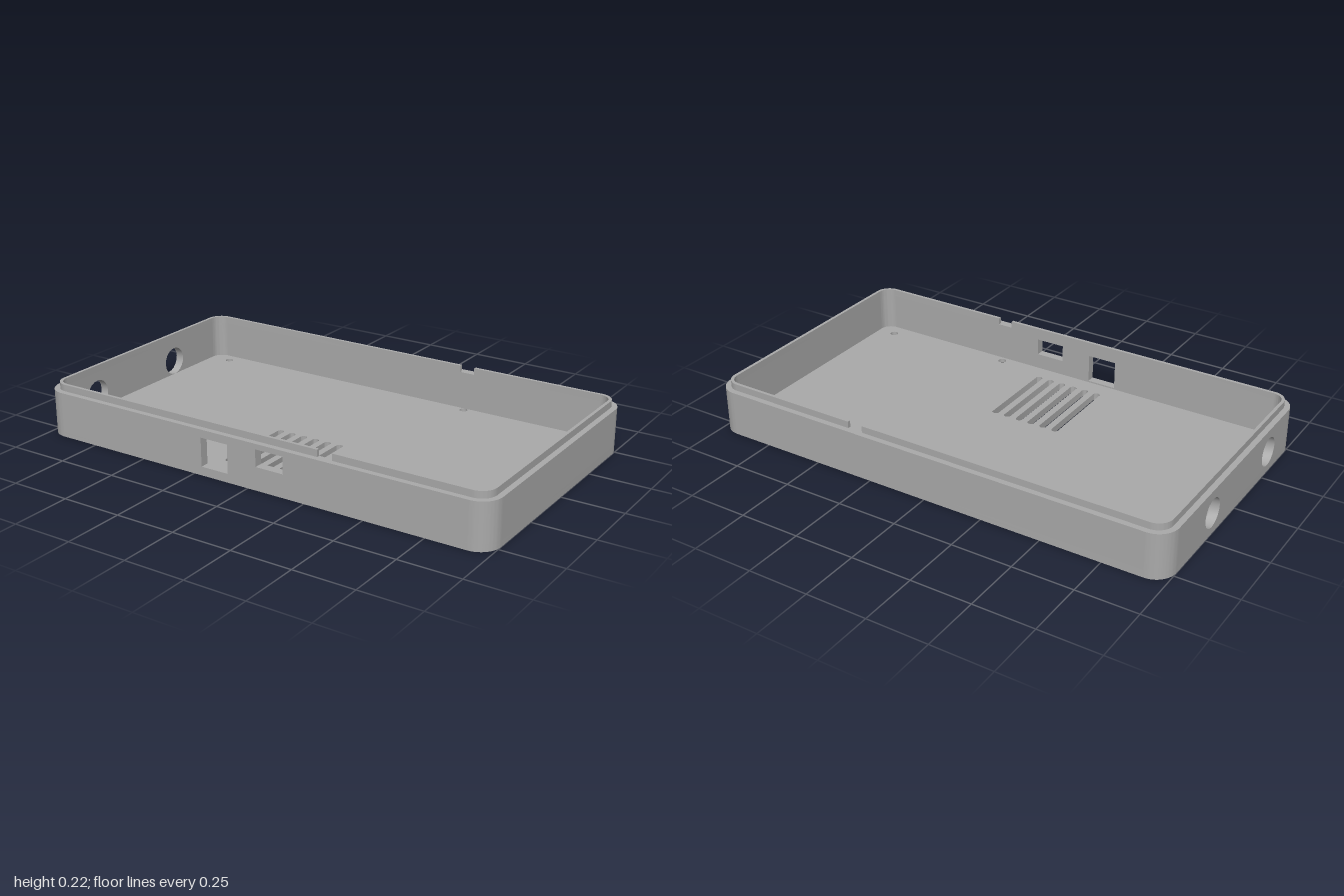
import * as THREE from 'three';
import { toCreasedNormals } from 'three/addons/utils/BufferGeometryUtils.js';

const X = 1, Z = 0.563, R = 0.085;        // outer half sizes and corner radius
const FLOOR = 0.03, RIM = 0.187, TOP = 0.215;
const WALL = 0.036;                       // wall thickness
const SINK = 0.014;                       // countersink depth

const grey = new THREE.MeshStandardMaterial({ color: 0xaaaaaa });
grey.name = 'grey plastic';
const greyOpen = new THREE.MeshStandardMaterial({ color: 0xaaaaaa, side: THREE.DoubleSide });
greyOpen.name = 'grey plastic, open surfaces';

function roundedRect(path, x0, y0, x1, y1, r) {
  path.moveTo(x0 + r, y0);
  path.lineTo(x1 - r, y0);
  path.absarc(x1 - r, y0 + r, r, -Math.PI / 2, 0);
  path.lineTo(x1, y1 - r);
  path.absarc(x1 - r, y1 - r, r, 0, Math.PI / 2);
  path.lineTo(x0 + r, y1);
  path.absarc(x0 + r, y1 - r, r, Math.PI / 2, Math.PI);
  path.lineTo(x0, y0 + r);
  path.absarc(x0 + r, y0 + r, r, Math.PI, Math.PI * 1.5);
  return path;
}

function extrude(shape, depth) {
  const g = new THREE.ExtrudeGeometry(shape, { depth, bevelEnabled: false, curveSegments: 10 });
  return toCreasedNormals(g, 0.6);
}

// Extrude a plan outline (x, -z) upwards from y0 to y1
function extrudeUp(shape, y0, y1) {
  return extrude(shape, y1 - y0).rotateX(-Math.PI / 2).translate(0, y0, 0);
}

function circle(x, y, r) {
  return new THREE.Path().absarc(x, y, r, 0, Math.PI * 2);
}

function rect(x0, y0, x1, y1, Type = THREE.Path) {
  const p = new Type();
  p.moveTo(x0, y0);
  p.lineTo(x1, y0);
  p.lineTo(x1, y1);
  p.lineTo(x0, y1);
  p.closePath();
  return p;
}

// C-shaped half of the lip, closed on the -x side and cut off at x = cut
function lipHalf(cut, outer, inner) {
  const s = new THREE.Shape();
  const xo = X - outer, zo = Z - outer, ro = R - outer;
  const xi = X - inner, zi = Z - inner, ri = R - inner;
  s.moveTo(cut, zo);
  s.lineTo(-xo + ro, zo);
  s.absarc(-xo + ro, zo - ro, ro, Math.PI / 2, Math.PI);
  s.lineTo(-xo, -zo + ro);
  s.absarc(-xo + ro, -zo + ro, ro, Math.PI, Math.PI * 1.5);
  s.lineTo(cut, -zo);
  s.lineTo(cut, -zi);
  s.lineTo(-xi + ri, -zi);
  s.absarc(-xi + ri, -zi + ri, ri, Math.PI * 1.5, Math.PI, true);
  s.lineTo(-xi, zi - ri);
  s.absarc(-xi + ri, zi - ri, ri, Math.PI, Math.PI / 2, true);
  s.lineTo(cut, zi);
  s.closePath();
  return s;
}

export function createModel() {
  const model = new THREE.Group();
  model.name = 'enclosureBase';
  const add = (name, geometry, material = grey) => {
    const m = new THREE.Mesh(geometry, material);
    m.name = name;
    model.add(m);
    return m;
  };

  // Floor in two layers, with vent slots and screw holes that widen below
  const screws = [];
  for (const x of [-0.87, 0.885]) for (const z of [-0.477, 0.467]) screws.push([x, z]);
  screws.push([0.325, -0.51], [0.325, 0.5]);
  const floorLayer = (holeRadius) => {
    const s = roundedRect(new THREE.Shape(), -X, -Z, X, Z, R);
    for (const [x, z] of screws) s.holes.push(circle(x, -z, holeRadius));
    for (let i = 0; i < 6; i++) {
      const x = -0.175 + i * 0.0558;
      s.holes.push(roundedRect(new THREE.Path(), x - 0.014, -0.458, x + 0.014, -0.088, 0.0139));
    }
    return s;
  };
  add('floorUnderside', extrudeUp(floorLayer(0.03), 0, SINK));
  add('floor', extrudeUp(floorLayer(0.017), SINK, FLOOR));
  for (const [x, z] of screws) {
    const cone = new THREE.CylinderGeometry(0.017, 0.03, SINK, 24, 1, true);
    add('screwCountersink', cone.translate(x, SINK / 2, z), greyOpen);
  }

  // Straight walls, with two port windows in front and two round holes at the side
  const panel = (halfLength) => rect(-halfLength, FLOOR, halfLength, RIM, THREE.Shape);
  const front = panel(X - R);
  front.holes.push(rect(-0.214, 0.036, -0.091, 0.154), rect(0.038, 0.095, 0.16, 0.165));
  add('frontWall', extrude(front, WALL).translate(0, 0, Z - WALL));
  add('backWall', extrude(panel(X - R), WALL).translate(0, 0, -Z));

  const side = panel(Z - R);
  for (const z of [-0.2, 0.3]) side.holes.push(circle(z, 0.09, 0.06));
  add('rightWall', extrude(side, WALL).rotateY(-Math.PI / 2).translate(-X + WALL, 0, 0));
  add('leftWall', extrude(panel(Z - R), WALL).rotateY(-Math.PI / 2).translate(X, 0, 0));

  // Rounded corner posts
  [[1, 1], [-1, 1], [-1, -1], [1, -1]].forEach(([sx, sy], i) => {
    const a = i * Math.PI / 2, cx = sx * (X - R), cy = sy * (Z - R);
    const s = new THREE.Shape();
    s.absarc(cx, cy, R, a, a + Math.PI / 2, false);
    s.absarc(cx, cy, R - WALL, a + Math.PI / 2, a, true);
    s.closePath();
    add('cornerWall', extrudeUp(s, FLOOR, RIM));
  });

  // Raised lip, split by a notch at front and back
  add('lipRightHalf', extrudeUp(lipHalf(0.294, 0.023, 0.036), RIM, TOP));
  add('lipLeftHalf', extrudeUp(lipHalf(-0.358, 0.023, 0.036), RIM, TOP).rotateY(Math.PI));

  return model;
}
